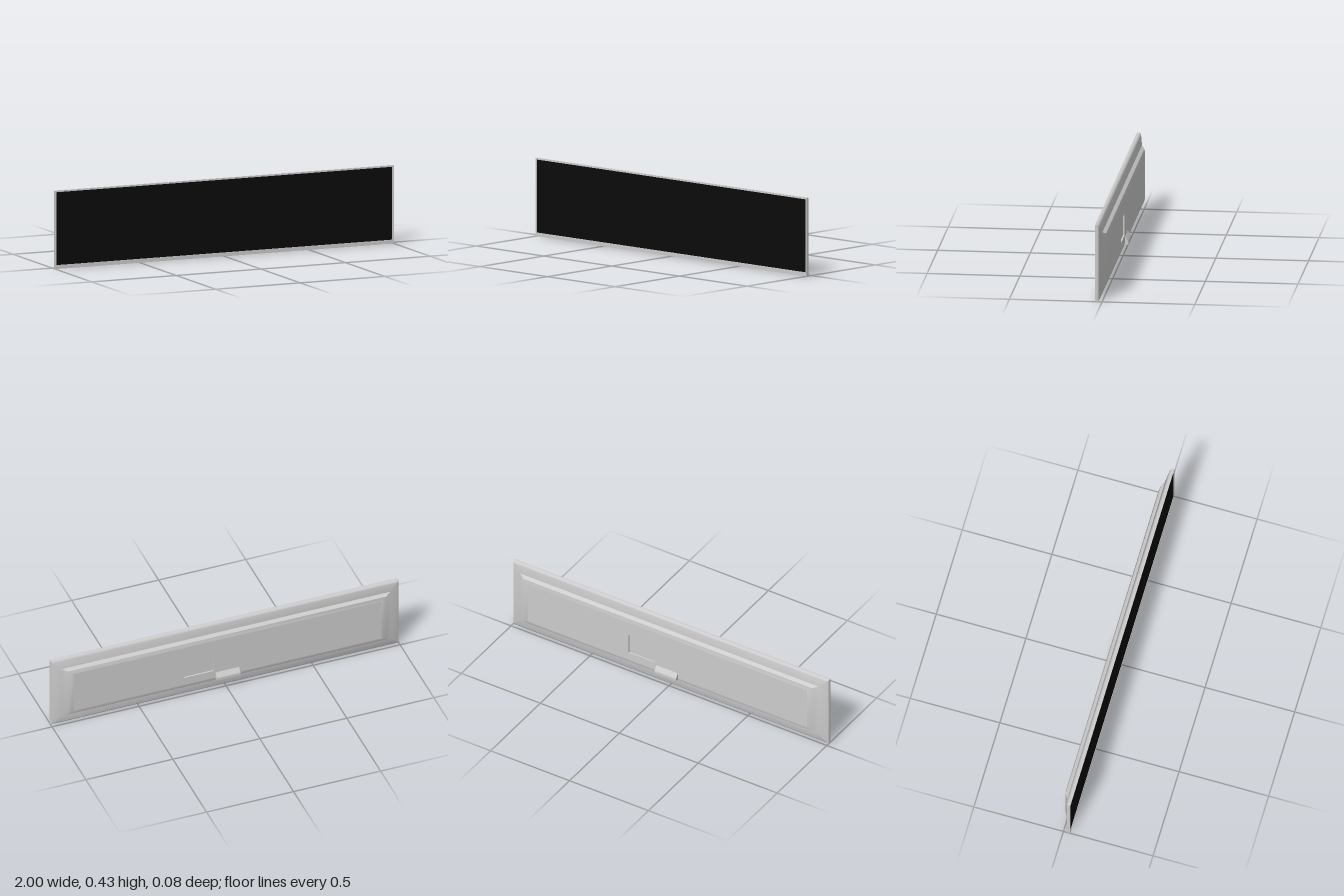
import * as THREE from 'three';
import { toCreasedNormals } from 'three/addons/utils/BufferGeometryUtils.js';

const grey = new THREE.MeshStandardMaterial({ color: 0xcccccc });
const black = new THREE.MeshStandardMaterial({ color: 0x0a0a0a });

function add(group, name, geometry, material = grey) {
  const mesh = new THREE.Mesh(geometry, material);
  mesh.name = name;
  group.add(mesh);
  return mesh;
}

// Rectangular rings [halfWidth, bottom, top, z] joined by quads, front to back
function loftRings(rings) {
  const pos = [];
  const corners = ([w, b, t, z]) => [[-w, b, z], [w, b, z], [w, t, z], [-w, t, z]];
  for (let r = 0; r < rings.length - 1; r++) {
    const a = corners(rings[r]), c = corners(rings[r + 1]);
    for (let i = 0; i < 4; i++) {
      const j = (i + 1) % 4;
      pos.push(...a[i], ...c[i], ...c[j], ...a[i], ...c[j], ...a[j]);
    }
  }
  const g = new THREE.BufferGeometry();
  g.setAttribute('position', new THREE.Float32BufferAttribute(pos, 3));
  return toCreasedNormals(g, 0.6);
}

const rectPoints = (x0, x1, y0, y1) =>
  [[x0, y0], [x1, y0], [x1, y1], [x0, y1]].map(([x, y]) => new THREE.Vector2(x, y));

// Profile of [depth behind z = 0, y] points extruded along x from x0 to x1
function extrudeAlongX(points, x0, x1) {
  const shape = new THREE.Shape(points.map(([d, y]) => new THREE.Vector2(d, y)));
  const g = new THREE.ExtrudeGeometry(shape, { depth: x1 - x0, bevelEnabled: false });
  return g.rotateY(Math.PI / 2).translate(x0, 0, 0);
}

export function createModel() {
  const model = new THREE.Group();
  model.name = 'widePanelDisplay';

  // Casing: screen opening, front rim, then the stepped and sloped back
  add(model, 'casing', loftRings([
    [0.992, 0.021, 0.417, 0.035],
    [0.992, 0.021, 0.417, 0.038],
    [1, 0, 0.425, 0.038],
    [1, 0, 0.425, 0.025],
    [0.998, 0.003, 0.422, 0.02],
    [0.99, 0.01, 0.415, 0.015],
    [0.945, 0.055, 0.37, 0.005],
    [0.915, 0.07, 0.357, -0.012],
    [0.885, 0.088, 0.336, -0.018],
  ]));

  // Screen
  add(model, 'screen', new THREE.PlaneGeometry(1.986, 0.398), black)
    .position.set(0, 0.219, 0.0355);

  // Flat back plate with a connector recess and a slot under the hood
  const plate = new THREE.Shape(rectPoints(-0.885, 0.885, 0.088, 0.336));
  const recesses = [
    ['connectorRecess', 0.08, 0.245, 0.135, 0.255],
    ['hoodSlot', -0.058, 0.058, 0.094, 0.116],
  ];
  for (const [name, x0, x1, y0, y1] of recesses) {
    plate.holes.push(new THREE.Path(rectPoints(x0, x1, y0, y1)));
    add(model, name, new THREE.BoxGeometry(x1 - x0 + 0.01, y1 - y0 + 0.01, 0.004))
      .position.set((x0 + x1) / 2, (y0 + y1) / 2, -0.007);
  }
  add(model, 'backPlate', new THREE.ExtrudeGeometry(plate, { depth: 0.01, bevelEnabled: false }))
    .position.z = -0.018;

  // Hood: sloped cover and two cheeks, open underneath
  const hood = new THREE.Group();
  hood.name = 'hood';
  model.add(hood);
  const outer = [[0.017, 0.122], [0.019, 0.122], [0.035, 0.099], [0.037, 0.094], [0.037, 0.08]];
  const inner = [[0.034, 0.08], [0.034, 0.093], [0.032, 0.098], [0.017, 0.118]];
  add(hood, 'hoodCover', extrudeAlongX([...outer, ...inner], -0.063, 0.063));
  for (const side of [-1, 1]) {
    const x = side * 0.065;
    add(hood, side > 0 ? 'leftCheek' : 'rightCheek',
      extrudeAlongX([...outer, [0.012, 0.08]], x - 0.003, x + 0.003));
  }
  return model;
}
